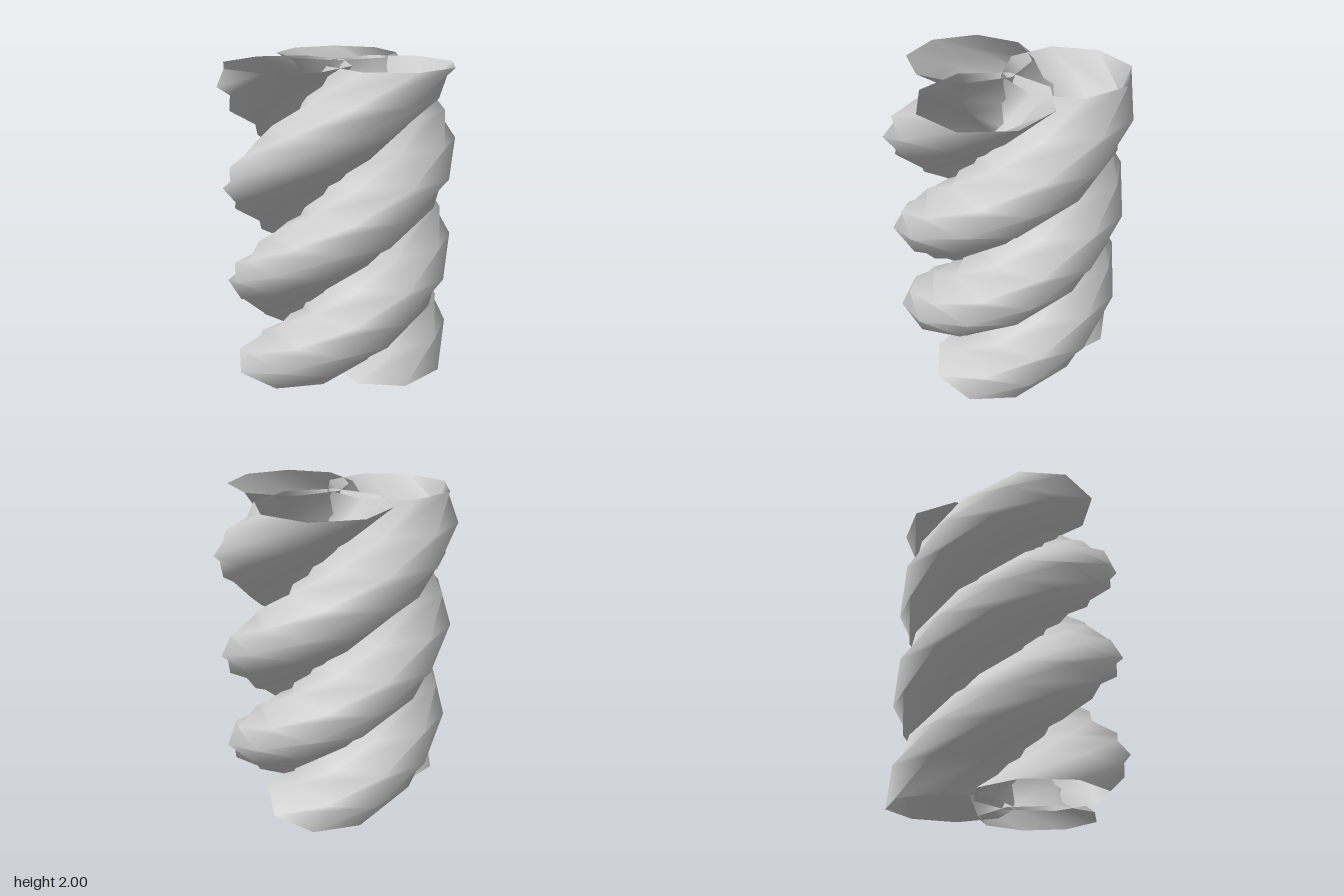
import * as THREE from 'three';

const STRANDS = 3, SIDES = 8, STEPS = 12;
const HEIGHT = 2, ORBIT = 0.36, RADIUS = 0.4;

// Open eight-sided tube whose level rings turn once around the axis over the full height
function strandGeometry(startAngle) {
  const positions = [], index = [];
  for (let i = 0; i <= STEPS; i++) {
    const turn = startAngle + (i / STEPS) * Math.PI * 2;
    for (let j = 0; j < SIDES; j++) {
      const a = turn + (j / SIDES) * Math.PI * 2;
      positions.push(
        ORBIT * Math.cos(turn) + RADIUS * Math.cos(a),
        (i / STEPS) * HEIGHT,
        -ORBIT * Math.sin(turn) - RADIUS * Math.sin(a)
      );
    }
  }
  for (let i = 0; i < STEPS; i++) {
    for (let j = 0; j < SIDES; j++) {
      const k = (j + 1) % SIDES;
      const a = i * SIDES + j, b = i * SIDES + k;
      const c = b + SIDES, d = a + SIDES;
      index.push(a, b, c, a, c, d);
    }
  }
  const geometry = new THREE.BufferGeometry();
  geometry.setAttribute('position', new THREE.Float32BufferAttribute(positions, 3));
  geometry.setIndex(index);
  geometry.computeVertexNormals();
  return geometry;
}

export function createModel() {
  const group = new THREE.Group();
  group.name = 'twistedRope';
  const material = new THREE.MeshStandardMaterial({ color: 0xcccccc, side: THREE.DoubleSide });

  // Three identical strands, a third of a turn apart
  for (let s = 0; s < STRANDS; s++) {
    const strand = new THREE.Mesh(strandGeometry(Math.PI / 3 + (s / STRANDS) * Math.PI * 2), material);
    strand.name = `strand${s + 1}`;
    group.add(strand);
  }
  return group;
}
